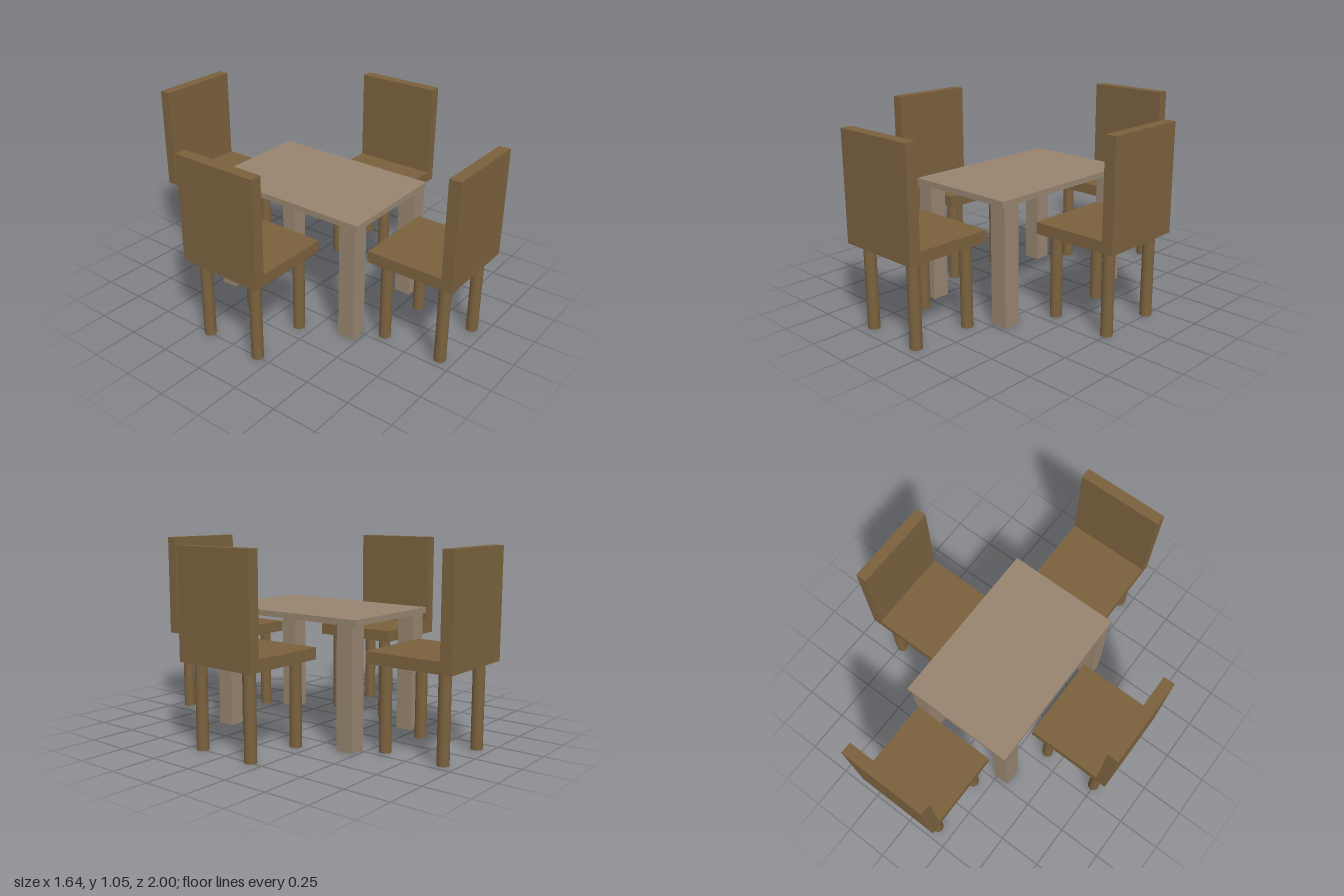
import * as THREE from 'three';

const chairWood = new THREE.MeshStandardMaterial({ color: 0x7a613e });
const tableWood = new THREE.MeshStandardMaterial({ color: 0x97846f });

const SIDE = 0.49, HALF = SIDE / 2, THICK = 0.063;
const SEAT_BOTTOM = 0.463, BACK_TOP = 1.052;

function addMesh(parent, name, geometry, material, x, y, z) {
  const mesh = new THREE.Mesh(geometry, material);
  mesh.name = name;
  mesh.position.set(x, y, z);
  parent.add(mesh);
}

// Calls place(x sign, z sign) for each of four corners
function corners(place) {
  for (const sx of [-1, 1]) for (const sz of [-1, 1]) place(sx, sz);
}

// Chair facing +z: L-shaped seat and backrest in one piece, four round legs
function createChair(name) {
  const chair = new THREE.Group();
  chair.name = name;

  const seatTop = SEAT_BOTTOM + THICK;
  const profile = new THREE.Shape([
    [-HALF, SEAT_BOTTOM], [HALF, SEAT_BOTTOM], [HALF, seatTop],
    [-HALF + THICK, seatTop], [-HALF + THICK, BACK_TOP], [-HALF, BACK_TOP],
  ].map(([x, y]) => new THREE.Vector2(x, y)));
  const body = new THREE.ExtrudeGeometry(profile, { depth: SIDE, bevelEnabled: false });
  body.translate(0, 0, -HALF).rotateY(-Math.PI / 2);
  addMesh(chair, 'seatAndBackrest', body, chairWood, 0, 0, 0);

  const leg = new THREE.CylinderGeometry(0.032, 0.032, SEAT_BOTTOM, 32);
  corners((sx, sz) => addMesh(chair, 'chairLeg', leg, chairWood, sx * 0.17, SEAT_BOTTOM / 2, sz * 0.17));
  return chair;
}

// Table: thin top on four square legs
function createTable() {
  const table = new THREE.Group();
  table.name = 'table';
  const top = 0.688, thick = 0.032, legHeight = top - thick;
  addMesh(table, 'tableTop', new THREE.BoxGeometry(0.654, thick, 0.982), tableWood, 0, top - thick / 2, -0.005);
  const leg = new THREE.BoxGeometry(0.098, legHeight, 0.098);
  corners((sx, sz) => addMesh(table, 'tableLeg', leg, tableWood, sx * 0.278, legHeight / 2, sz * 0.427));
  table.position.x = -0.002;
  return table;
}

export function createModel() {
  const model = new THREE.Group();
  model.name = 'diningSet';
  model.add(createTable());

  // One chair per table side, each turned towards the table
  const places = [
    ['backChair', 0.015, -0.755, 0],
    ['frontChair', -0.017, 0.755, Math.PI],
    ['leftChair', 0.573, 0, -Math.PI / 2],
    ['rightChair', -0.574, 0, Math.PI / 2],
  ];
  for (const [name, x, z, turn] of places) {
    const chair = createChair(name);
    chair.position.set(x, 0, z);
    chair.rotation.y = turn;
    model.add(chair);
  }
  return model;
}
